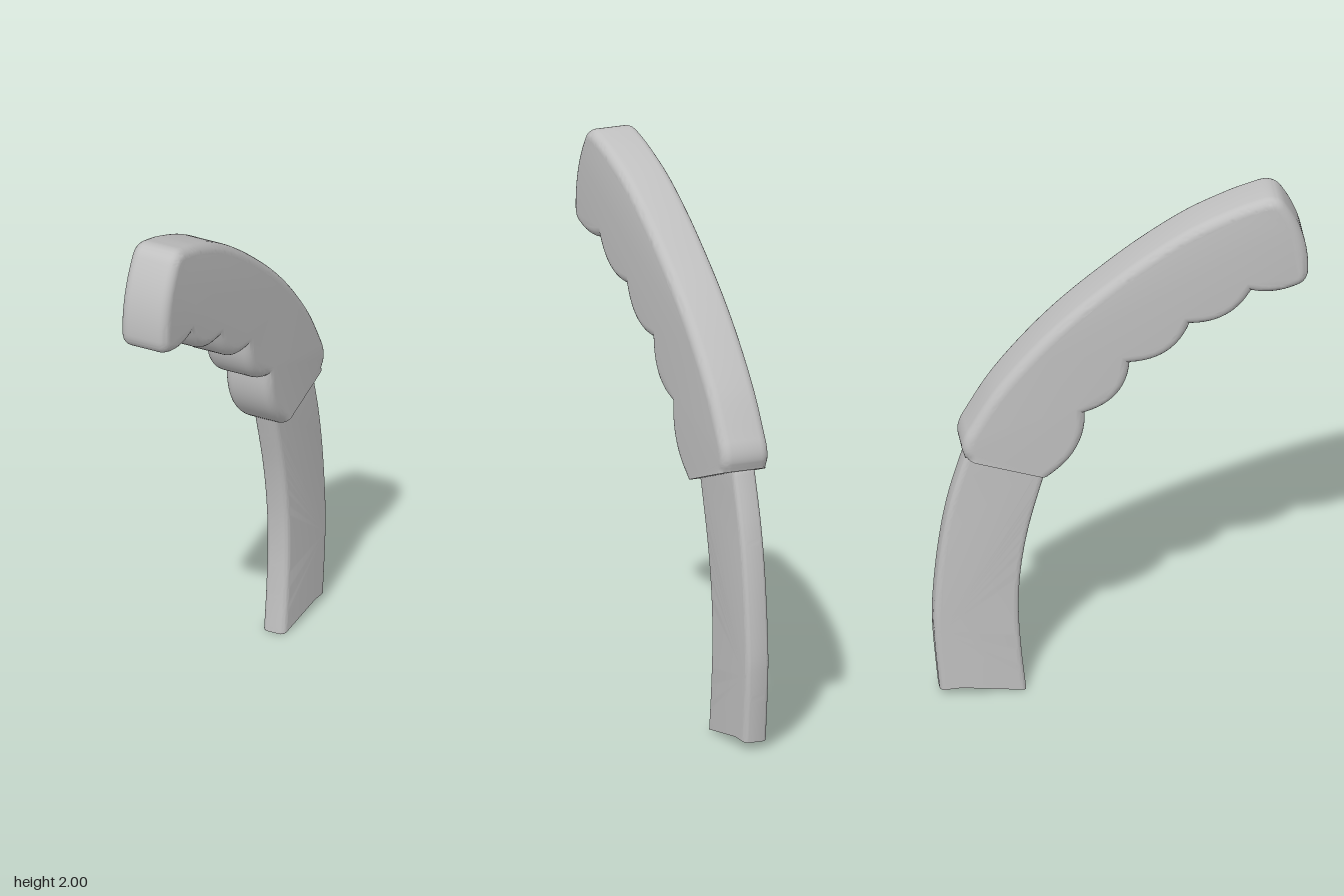
import * as THREE from 'three';
import { toCreasedNormals } from 'three/addons/utils/BufferGeometryUtils.js';

const V = (z, y) => new THREE.Vector2(z, y);

// Extrude a (z, y) outline across x with rounded edges; trim(p) flattens the cut end.
function roundedPlate(shape, halfWidth, round, trim) {
  const depth = 2 * (halfWidth - round);
  const geo = new THREE.ExtrudeGeometry(shape, {
    depth, curveSegments: 12, bevelEnabled: true, bevelSegments: 6,
    bevelThickness: round, bevelSize: round, bevelOffset: -round,
  });
  geo.translate(0, 0, -depth / 2);
  const pos = geo.attributes.position;
  const p = new THREE.Vector2();
  for (let i = 0; i < pos.count; i++) {
    p.set(pos.getX(i), pos.getY(i));
    trim(p);
    pos.setXY(i, p.x, p.y);
  }
  geo.deleteAttribute('uv');
  geo.rotateY(-Math.PI / 2);
  return toCreasedNormals(geo, 0.55);
}

// Grip: scalloped finger side, rounded head, arched back, flat slanted end
function gripGeometry() {
  const front = V(-0.262, 0.905), back = V(-0.553, 1.0);
  const n = V(back.y - front.y, front.x - back.x).normalize();
  const s = new THREE.Shape();
  s.moveTo(front.x - 0.07 * n.x, front.y - 0.07 * n.y);
  s.lineTo(front.x, front.y);
  // finger scallops: end z, end y, bulge
  let a = front;
  for (const [z, y, bulge] of [
    [-0.13, 1.16, 0.04], [0.03, 1.355, 0.045], [0.245, 1.5, 0.045], [0.465, 1.62, 0.04],
  ]) {
    const b = V(z, y), d = b.clone().sub(a).normalize();
    s.quadraticCurveTo((a.x + b.x) / 2 + 2 * bulge * d.y, (a.y + b.y) / 2 - 2 * bulge * d.x, z, y);
    a = b;
  }
  // head
  s.quadraticCurveTo(0.55, 1.595, 0.635, 1.632);
  s.quadraticCurveTo(0.668, 1.645, 0.67, 1.69);
  s.quadraticCurveTo(0.672, 1.84, 0.59, 1.965);
  s.quadraticCurveTo(0.56, 2.012, 0.5, 1.993);
  // arched back
  s.splineThru([V(0.4, 1.96), V(0.245, 1.89), V(0.08, 1.785), V(-0.07, 1.67),
    V(-0.21, 1.55), V(-0.336, 1.42), V(-0.46, 1.265), V(-0.555, 1.105)]);
  s.quadraticCurveTo(-0.588, 1.04, back.x, back.y);
  s.lineTo(back.x - 0.07 * n.x, back.y - 0.07 * n.y);
  const c = n.dot(front);
  return roundedPlate(s, 0.093, 0.036, (p) => {
    const d = n.dot(p) - c;
    if (d < 0.008) p.addScaledVector(n, -d);
  });
}

// Shank: slim curved bar running up into the grip, with a shallow hollow end
function shankGeometry() {
  const endY = (z) => 0.03 - 0.65 * (z + 0.55) ** 2;
  const s = new THREE.Shape();
  s.moveTo(-0.335, -0.06);
  s.lineTo(-0.335, endY(-0.335));
  s.splineThru([V(-0.352, 0.16), V(-0.362, 0.33), V(-0.355, 0.495),
    V(-0.325, 0.68), V(-0.266, 0.905), V(-0.25, 0.96)]);
  s.lineTo(-0.33, 1.06);
  s.lineTo(-0.5, 1.06);
  s.lineTo(-0.553, 1.0);
  s.splineThru([V(-0.61, 0.8), V(-0.645, 0.6), V(-0.665, 0.38), V(-0.664, 0.24), V(-0.645, endY(-0.645))]);
  for (let i = 0; i < 8; i++) s.lineTo(-0.645 + 0.31 * i / 8, -0.06);
  return roundedPlate(s, 0.045, 0.022, (p) => {
    if (p.y < endY(p.x) + 0.006) p.y = endY(p.x);
  });
}

export function createModel() {
  const group = new THREE.Group();
  const grey = new THREE.MeshStandardMaterial({ color: 0xc0c0c0 });
  grey.name = 'light grey';
  for (const [name, geo] of [['grip', gripGeometry()], ['shank', shankGeometry()]]) {
    const mesh = new THREE.Mesh(geo, grey);
    mesh.name = name;
    group.add(mesh);
  }
  return group;
}
